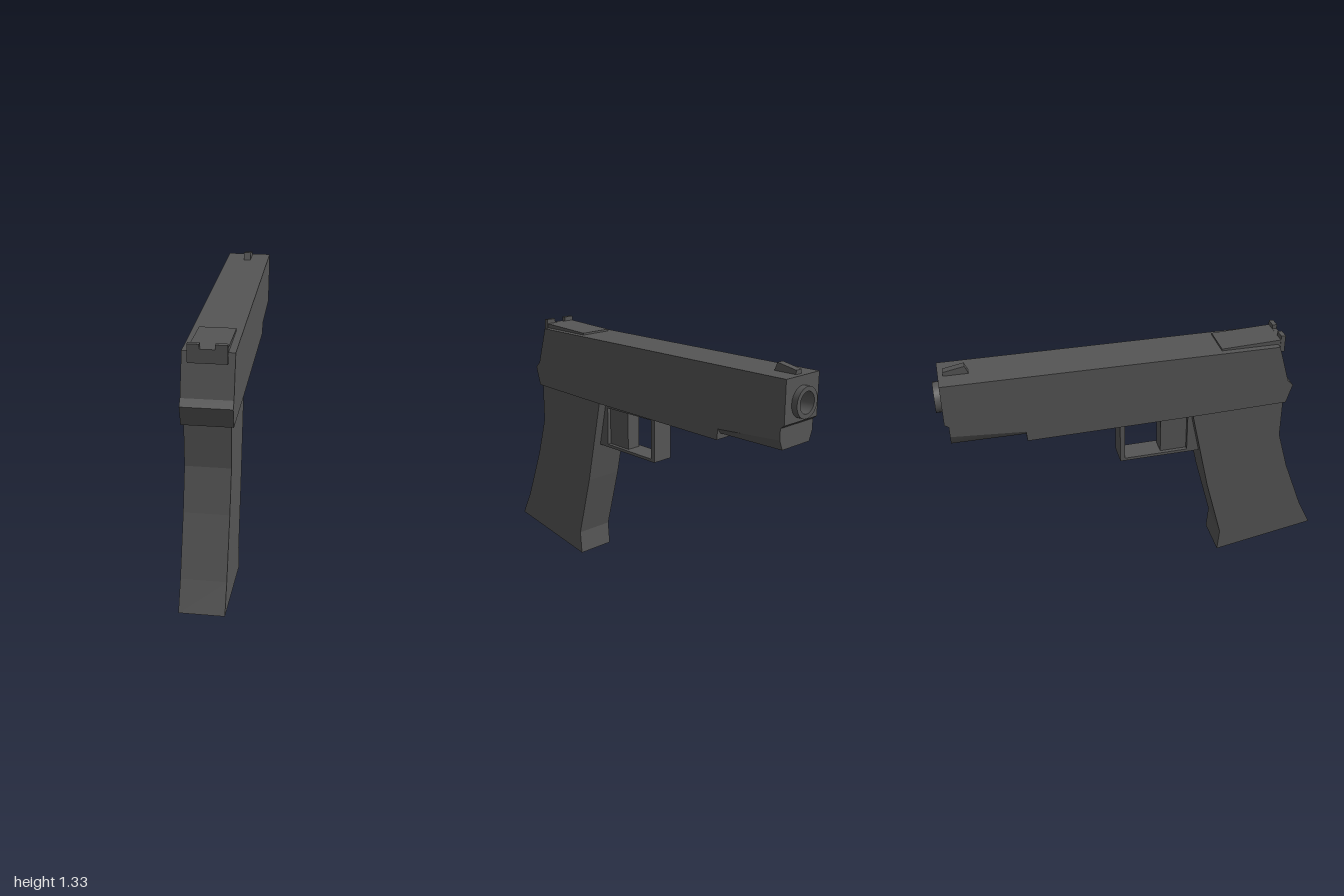
import * as THREE from 'three';
import { toCreasedNormals } from 'three/addons/utils/BufferGeometryUtils.js';

const material = new THREE.MeshStandardMaterial({ color: 0x555555 });

function add(group, name, geometry) {
  const mesh = new THREE.Mesh(geometry, material);
  mesh.name = name;
  group.add(mesh);
  return mesh;
}

const toPath = (points, Type = THREE.Shape) => new Type(points.map(([a, b]) => new THREE.Vector2(a, b)));

// Side profile given as [z, y], extruded across x and centred
function sideExtrude(points, halfWidth, hole) {
  const shape = toPath(points);
  if (hole) shape.holes.push(toPath(hole, THREE.Path));
  return new THREE.ExtrudeGeometry(shape, { depth: halfWidth * 2, bevelEnabled: false })
    .translate(0, 0, -halfWidth)
    .rotateY(-Math.PI / 2);
}

// Outline given as [x, y], extruded along z from z0 to z1
function endExtrude(shape, z0, z1) {
  return new THREE.ExtrudeGeometry(shape, { depth: z1 - z0, bevelEnabled: false, curveSegments: 16 })
    .translate(0, 0, z0);
}

export function createModel() {
  const model = new THREE.Group();
  model.name = 'pistol';

  // Slide with its angled rear and stepped underside
  add(model, 'slide', sideExtrude([
    [0.71, 1.28], [0.77, 1.08], [0.8, 1.05], [0.77, 0.95], [0.27, 0.935], [-0.58, 0.92],
    [-0.585, 0.975], [-0.95, 1.0], [-0.95, 1.055], [-0.97, 1.07], [-0.87, 1.07], [-0.87, 1.28],
  ], 0.12));

  // Front end of the slide, pierced for the barrel
  const end = toPath([[-0.12, 1.07], [0.12, 1.07], [0.12, 1.28], [-0.12, 1.28]]);
  end.holes.push(new THREE.Path().absarc(0, 1.16, 0.06, 0, Math.PI * 2, true));
  add(model, 'slideFront', endExtrude(end, -0.97, -0.87));

  // Hollow barrel: outer wall, rim, bore and bore floor
  const barrelProfile = [[0.075, 0.96], [0.075, 1.0], [0.052, 1.0], [0.052, 0.88], [0, 0.88]]
    .map(([r, h]) => new THREE.Vector2(r, h));
  add(model, 'barrel', toCreasedNormals(
    new THREE.LatheGeometry(barrelProfile, 24).rotateX(-Math.PI / 2), 0.6,
  )).position.y = 1.16;

  // Lower nose: a box with a sloping top and sides drawn in toward the bottom
  const nose = new THREE.BoxGeometry(0.24, 1, 0.365);
  const p = nose.attributes.position;
  for (let i = 0; i < p.count; i++) {
    const top = p.getY(i) > 0;
    const front = p.getZ(i) < 0;
    p.setXYZ(i, p.getX(i) * (top ? 1 : 0.83), top ? (front ? 1.0 : 0.975) : 0.95, front ? -0.95 : -0.585);
  }
  nose.computeVertexNormals();
  add(model, 'lowerNose', nose);

  // Grip
  add(model, 'grip', sideExtrude([
    [0.76, 0.97], [0.76, 0.74], [0.82, 0.53], [0.93, 0.24], [1.0, 0.1], [0.45, 0],
    [0.46, 0.125], [0.37, 0.47], [0.265, 0.97],
  ], 0.108));

  // Trigger guard and trigger
  add(model, 'triggerGuard', sideExtrude(
    [[0.3, 0.92], [0.36, 0.68], [-0.1, 0.675], [-0.1, 0.92]], 0.06,
    [[0.26, 0.9], [-0.075, 0.9], [-0.075, 0.69], [0.26, 0.695]],
  ));
  add(model, 'trigger', sideExtrude([[0.27, 0.905], [0.27, 0.688], [0.12, 0.688], [0.12, 0.905]], 0.04));

  // Sights
  add(model, 'frontSight', sideExtrude([[-0.82, 1.27], [-0.84, 1.32], [-0.945, 1.3], [-0.945, 1.27]], 0.019));
  add(model, 'rearSightBase', sideExtrude([[0.73, 1.27], [0.73, 1.303], [0.415, 1.29], [0.415, 1.27]], 0.088));
  add(model, 'rearSight', endExtrude(toPath([
    [-0.09, 1.237], [0.09, 1.237], [0.09, 1.325], [0.035, 1.325],
    [0.035, 1.303], [-0.035, 1.303], [-0.035, 1.325], [-0.09, 1.325],
  ]), 0.722, 0.745));

  return model;
}
